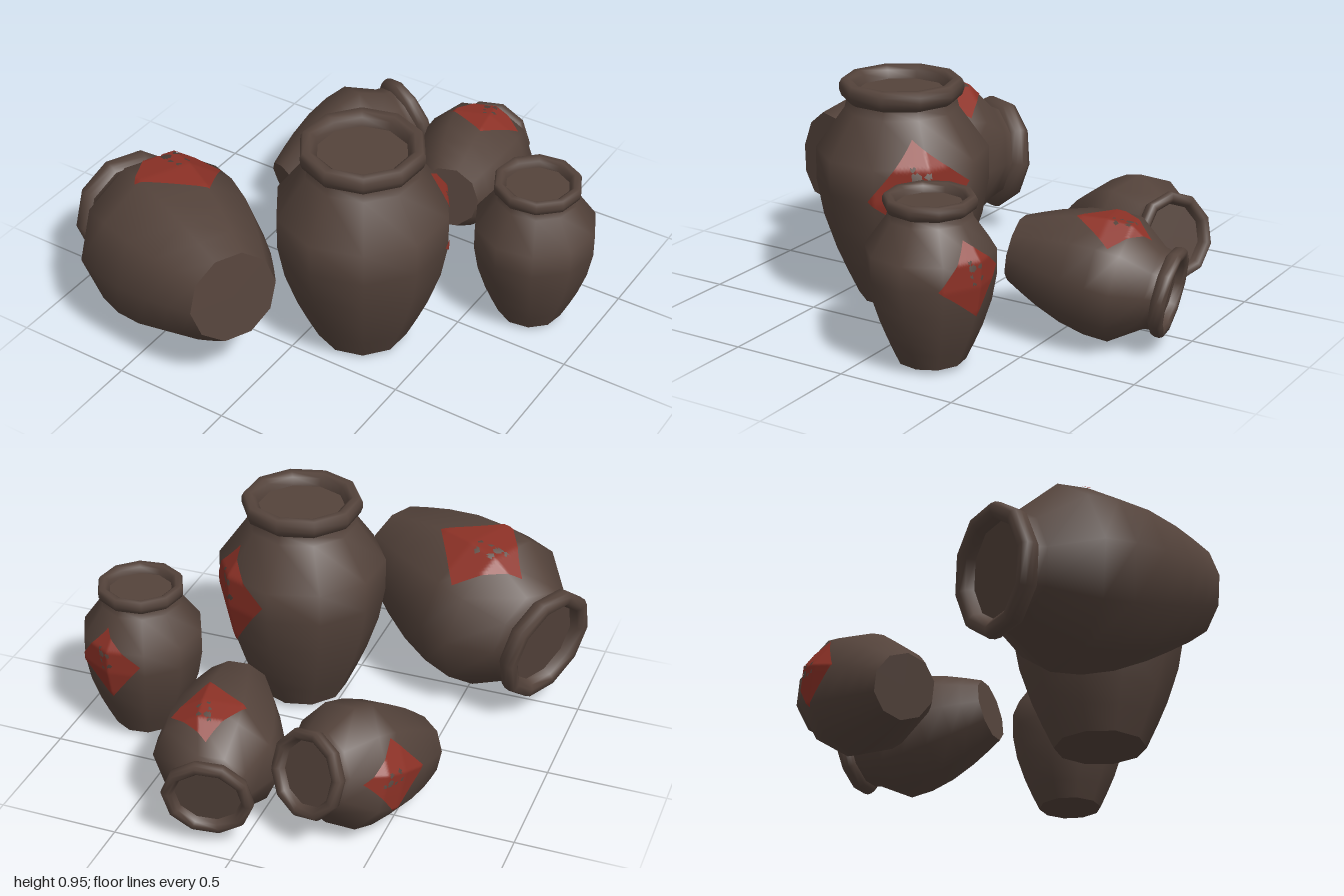
import * as THREE from 'three';

const SIDES = 10;
const LABEL_ANGLE = THREE.MathUtils.degToRad(140);

// Profiles as [radius, height] of the full-size jar
const BODY = [[0.19, 0], [0.237, 0.1], [0.28, 0.2], [0.33, 0.35], [0.357, 0.5],
  [0.357, 0.64], [0.235, 0.81], [0.225, 0.85]];
const RIM = [[0.225, 0.845], [0.247, 0.86], [0.256, 0.885], [0.256, 0.91], [0.245, 0.93],
  [0.215, 0.93], [0.195, 0.915], [0.186, 0.88]];
const BASE = [[0, 0], [0.19, 0]];
const MOUTH = [[0.19, 0.88], [0, 0.88]];

// Worn spots in the paper: [s, t, radius] on the square label
const WEAR = [[0.3, 0.42, 0.13], [0.5, 0.2, 0.1], [0.05, 0.25, 0.07],
  [0.2, -0.15, 0.09], [-0.12, 0.0, 0.06], [0.42, 0.62, 0.07]];

const lathe = (profile) =>
  new THREE.LatheGeometry(profile.map(([r, y]) => new THREE.Vector2(r, y)), SIDES);

// Point on the ten-sided body wall, lifted slightly outward
function wallPoint(phi, y) {
  let i = 1;
  while (i < BODY.length - 1 && BODY[i][1] < y) i++;
  const [r0, y0] = BODY[i - 1], [r1, y1] = BODY[i];
  const step = (2 * Math.PI) / SIDES;
  const local = ((phi % step) + step) % step - step / 2;
  const ring = r0 + ((r1 - r0) * (y - y0)) / (y1 - y0);
  const r = (ring * Math.cos(step / 2)) / Math.cos(local) + 0.005;
  return [r * Math.sin(phi), y, r * Math.cos(phi)];
}

// Square paper label turned on its corner and wrapped around the body
function labelGeometry() {
  const geo = new THREE.PlaneGeometry(2, 2, 28, 28);
  const pos = geo.attributes.position;
  const index = geo.index.array;
  const kept = [];
  for (let i = 0; i < index.length; i += 3) {
    let s = 0, t = 0;
    for (let k = 0; k < 3; k++) {
      s += pos.getX(index[i + k]) / 3;
      t += pos.getY(index[i + k]) / 3;
    }
    if (!WEAR.some(([a, b, r]) => Math.hypot(s - a, t - b) < r)) {
      kept.push(index[i], index[i + 1], index[i + 2]);
    }
  }
  geo.setIndex(kept);
  const turn = Math.PI / 4 + 0.13;
  const c = Math.cos(turn) * Math.SQRT1_2, n = Math.sin(turn) * Math.SQRT1_2;
  for (let i = 0; i < pos.count; i++) {
    const s = pos.getX(i), t = pos.getY(i);
    pos.setXYZ(i, ...wallPoint(LABEL_ANGLE + 0.64 * (s * c - t * n), 0.535 + 0.215 * (s * n + t * c)));
  }
  geo.computeVertexNormals();
  return geo;
}

export function createModel() {
  const clay = new THREE.MeshStandardMaterial({ color: 0x54433b });
  clay.name = 'brown clay';
  const paper = new THREE.MeshStandardMaterial({ color: 0x8c3126 });
  paper.name = 'red paper';

  const parts = [
    ['body', lathe(BODY), clay],
    ['rim', lathe(RIM), clay],
    ['base', lathe(BASE), clay],
    ['mouthFloor', lathe(MOUTH), clay],
    ['paperLabel', labelGeometry(), paper],
  ];

  // Jar standing on `foot`, pointing along `axis`, its label facing `facing`
  function makeJar(name, scale, foot, axis, facing) {
    const y = new THREE.Vector3(...axis).normalize();
    const z = new THREE.Vector3(...facing);
    z.addScaledVector(y, -z.dot(y)).normalize();
    const x = new THREE.Vector3().crossVectors(y, z);
    const jar = new THREE.Group();
    jar.name = name;
    jar.quaternion.setFromRotationMatrix(new THREE.Matrix4().makeBasis(x, y, z));
    jar.rotateY(-LABEL_ANGLE);
    jar.position.set(...foot);
    jar.scale.setScalar(scale);
    for (const [partName, geometry, material] of parts) {
      const mesh = new THREE.Mesh(geometry, material);
      mesh.name = partName;
      jar.add(mesh);
    }
    return jar;
  }

  const model = new THREE.Group();
  model.name = 'jars';
  model.add(
    makeJar('largeStandingJar', 1, [0.187, 0, 0.255], [0, 1, 0], [0.682, 0, -0.731]),
    makeJar('smallStandingJar', 0.715, [0.717, 0, -0.228], [0, 1, 0], [0.242, 0, -0.97]),
    makeJar('largeLyingJar', 1, [-0.045, 0.445, 0.825], [-0.88, -0.14, -0.42], [0.104, 0.97, -0.218]),
    makeJar('smallLyingJarLeft', 0.715, [0.245, 0.325, -0.33], [-0.205, -0.17, -0.963], [0.153, 0.988, -0.033]),
    makeJar('smallLyingJarRight', 0.715, [-0.5, 0.14, -0.23], [0.405, 0.27, -0.873], [-0.887, 0.208, -0.41]),
  );
  return model;
}
